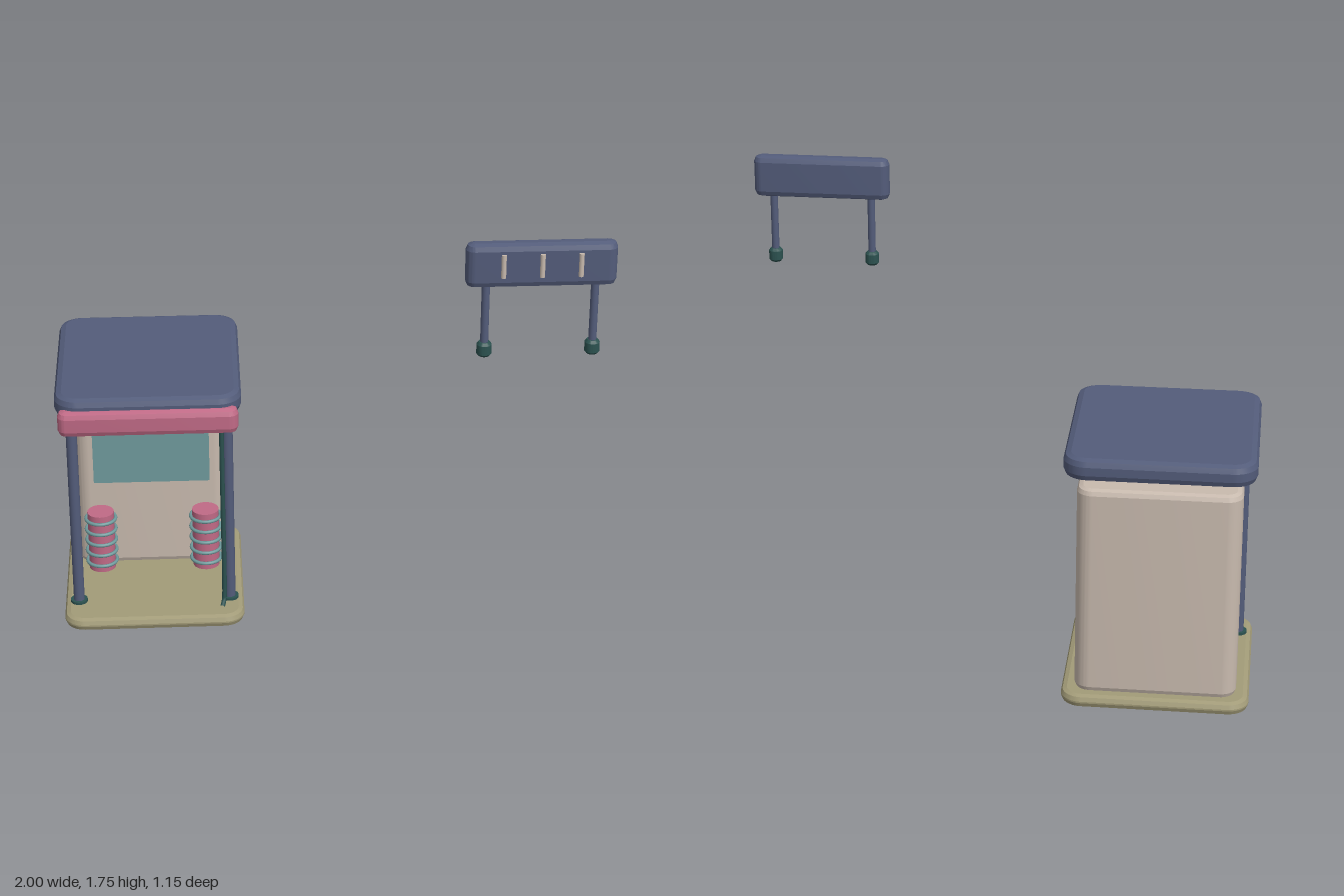
import * as THREE from 'three';
import { toCreasedNormals } from 'three/addons/utils/BufferGeometryUtils.js';

const mat = (name, color) => {
  const m = new THREE.MeshStandardMaterial({ color });
  m.name = name;
  return m;
};

// Rounded-corner block seen from above, with bevelled top and bottom edges
function slab(x0, x1, y0, y1, z0, z1, radius, bevel) {
  const w = (x1 - x0) / 2 - bevel, d = (z1 - z0) / 2 - bevel, r = Math.max(radius - bevel, 0.004);
  const s = new THREE.Shape();
  s.absarc(w - r, d - r, r, 0, Math.PI / 2);
  s.absarc(-w + r, d - r, r, Math.PI / 2, Math.PI);
  s.absarc(-w + r, -d + r, r, Math.PI, Math.PI * 1.5);
  s.absarc(w - r, -d + r, r, Math.PI * 1.5, Math.PI * 2);
  s.closePath();
  const g = new THREE.ExtrudeGeometry(s, {
    depth: y1 - y0 - 2 * bevel, bevelEnabled: true, bevelSize: bevel,
    bevelThickness: bevel, bevelSegments: 2, curveSegments: 7,
  });
  g.rotateX(-Math.PI / 2);
  g.translate((x0 + x1) / 2, y0 + bevel, (z0 + z1) / 2);
  return toCreasedNormals(g, 0.36);
}

function rod(r, x, y0, y1, z, sides = 20) {
  return new THREE.CylinderGeometry(r, r, y1 - y0, sides).translate(x, (y0 + y1) / 2, z);
}

export function createModel() {
  const navy = mat('navy', 0x535c7a);
  const pink = mat('pink', 0xc06a86);
  const beige = mat('beige', 0xc8baae);
  const khaki = mat('khaki', 0xa29b78);
  const teal = mat('teal', 0x6f9a9c);
  const green = mat('dark green', 0x2c5250);

  const root = new THREE.Group();
  root.name = 'kioskWithSign';
  const kiosk = new THREE.Group();
  kiosk.name = 'kiosk';
  const sign = new THREE.Group();
  sign.name = 'hangingSign';
  root.add(kiosk, sign);
  const add = (parent, name, geometry, material) => {
    const m = new THREE.Mesh(geometry, material);
    m.name = name;
    parent.add(m);
    return m;
  };
  const cx = -0.6525;

  // Floor, roof, fascia and cabinet
  add(kiosk, 'floor', slab(-1, -0.305, 0, 0.05, -0.57, 0.17, 0.08, 0.022), khaki);
  add(kiosk, 'roof', slab(-1, -0.305, 0.914, 1, -0.577, 0.18, 0.09, 0.027), navy);
  add(kiosk, 'fascia', slab(-0.987, -0.318, 0.86, 0.96, 0.13, 0.207, 0.036, 0.024), pink);
  add(kiosk, 'cabinet', slab(-0.952, -0.353, 0.045, 0.862, -0.525, -0.275, 0.06, 0.022), beige);
  add(kiosk, 'window', new THREE.BoxGeometry(0.456, 0.21, 0.009).translate(-0.655, 0.52, -0.27), teal);

  for (const side of [-1, 1]) {
    // Front posts with foot plates
    const px = cx + side * 0.294;
    add(kiosk, 'post', rod(0.021, px, 0.05, 0.92, 0.018), navy);
    add(kiosk, 'postFoot', rod(0.033, px, 0.048, 0.06, 0.018), green);

    // Ringed rollers
    const rx = cx + side * 0.205;
    add(kiosk, 'roller', rod(0.052, rx, 0.097, 0.343, -0.167, 24), pink);
    for (let i = 0; i < 5; i++) {
      const ring = new THREE.TorusGeometry(0.058, 0.007, 8, 28).rotateX(Math.PI / 2);
      add(kiosk, 'rollerRing', ring.translate(rx, 0.127 + i * 0.0468, -0.167), teal);
    }

    // Ceiling lamps
    add(kiosk, 'ceilingLamp', rod(0.045, cx + side * 0.15, 0.903, 0.918, -0.022), khaki);
  }

  // Cable running down beside one post and bending out onto the floor
  const cable = new THREE.CatmullRomCurve3([
    [-0.381, 0.92, 0.07], [-0.381, 0.5, 0.07], [-0.381, 0.1, 0.07],
    [-0.383, 0.07, 0.075], [-0.39, 0.055, 0.1],
  ].map((p) => new THREE.Vector3(...p)));
  add(kiosk, 'cable', new THREE.TubeGeometry(cable, 40, 0.009, 8), green);

  // Separate sign on two legs
  add(sign, 'signBoard', slab(0.47, 1, 1.588, 1.752, 0.491, 0.56, 0.0345, 0.024), navy);
  for (const x of [0.6, 0.735, 0.87]) {
    add(sign, 'signBar', rod(0.009, x, 1.632, 1.718, 0.563, 10), beige);
  }
  const footProfile = [[0, 1.32], [0.019, 1.32], [0.027, 1.329], [0.027, 1.364], [0.019, 1.374], [0, 1.374]]
    .map((p) => new THREE.Vector2(...p));
  for (const x of [0.544, 0.927]) {
    add(sign, 'signLeg', rod(0.0145, x, 1.36, 1.6, 0.526), navy);
    const foot = toCreasedNormals(new THREE.LatheGeometry(footProfile, 20), 0.5);
    add(sign, 'signFoot', foot.translate(x, 0, 0.526), green);
  }
  return root;
}
